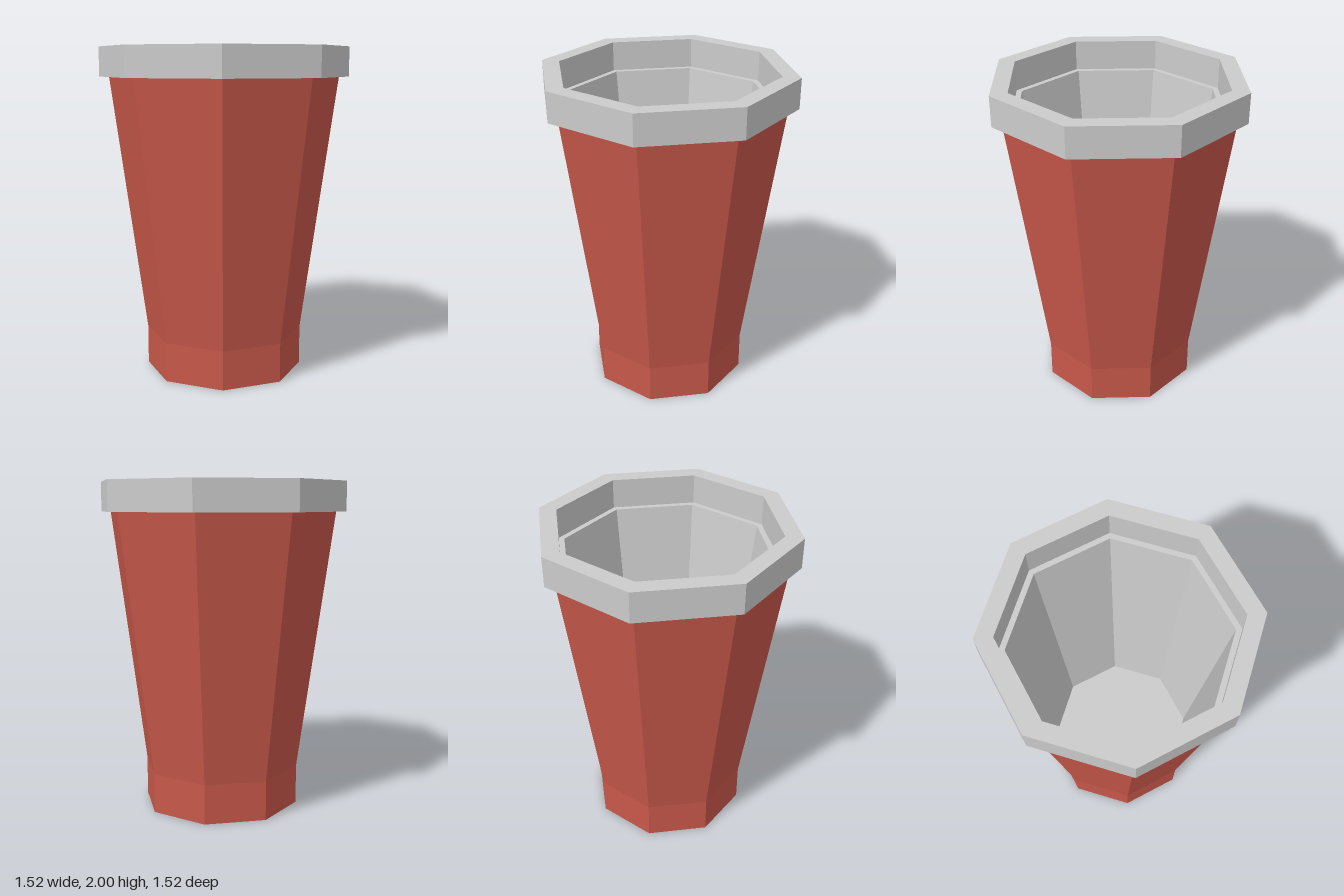
import * as THREE from 'three';

const SIDES = 8;

// Octagonal turned part; profile points are [radius, height], outside on the right
function turned(name, profile, color) {
  const points = profile.map(([r, y]) => new THREE.Vector2(r, y));
  const material = new THREE.MeshStandardMaterial({ color, flatShading: true });
  const mesh = new THREE.Mesh(new THREE.LatheGeometry(points, SIDES), material);
  mesh.name = name;
  return mesh;
}

export function createModel() {
  const group = new THREE.Group();
  group.name = 'cup';

  // Red outer shell: closed bottom, straight foot, flaring wall
  group.add(turned('outerShell', [[0, 0], [0.485, 0], [0.485, 0.24], [0.7, 1.82]], 0xc8584a));

  // Overhanging rim band, open in the middle
  group.add(turned('rim', [[0.7, 1.82], [0.76, 1.82], [0.76, 2], [0.655, 2], [0.655, 1.82]], 0xcccccc));

  // Inner lining: small ledge, tapering wall and floor
  group.add(turned('innerLining', [[0.655, 1.82], [0.62, 1.82], [0.44, 0.35], [0, 0.35]], 0xcccccc));

  return group;
}
